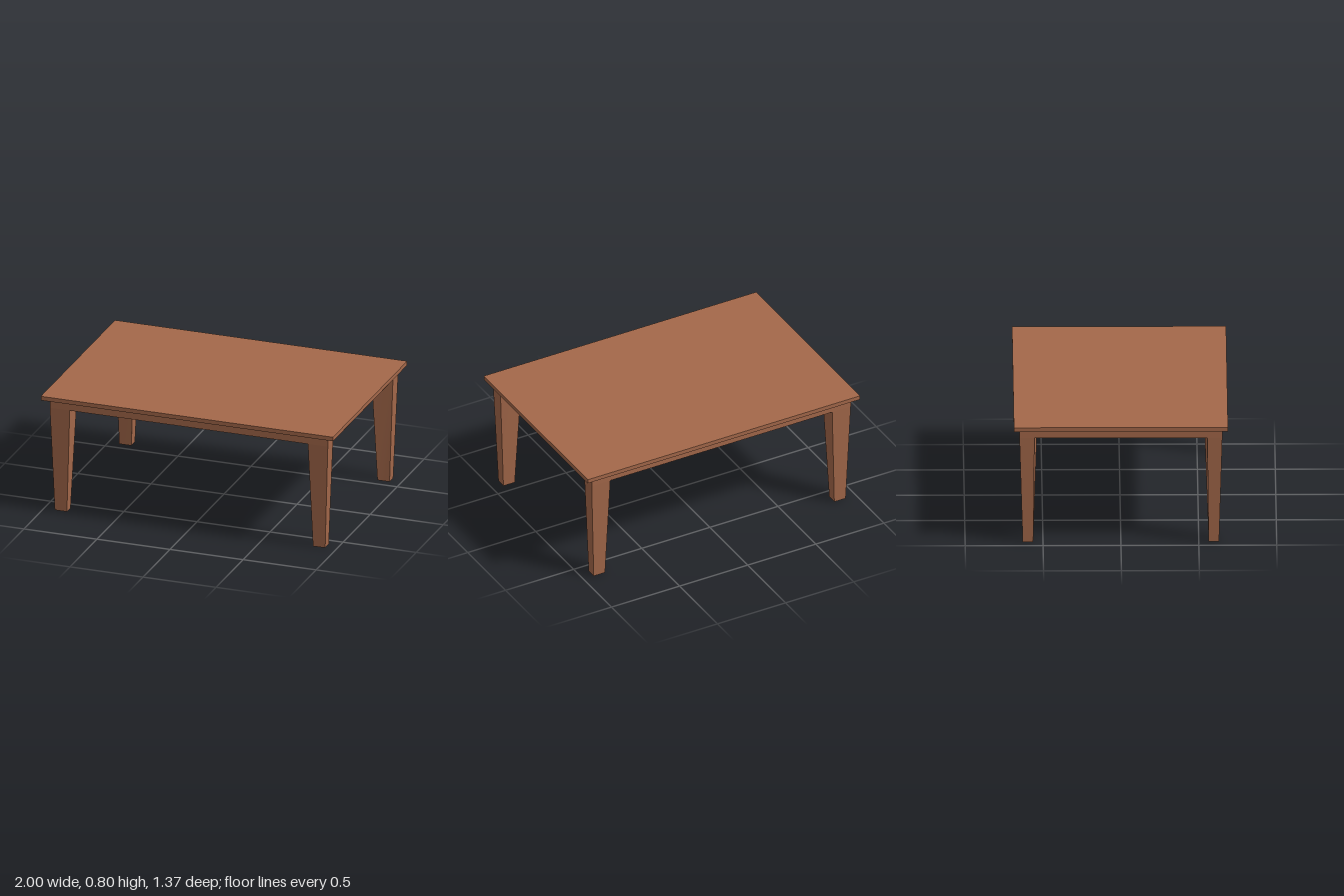
import * as THREE from 'three';

const APRON_BOTTOM = 0.713, TOP_BOTTOM = 0.772, HEIGHT = 0.8;

// Tapered leg for the corner (sx, sz): a box whose corners are moved to the foot and shoulder outlines
function legGeometry(sx, sz) {
  const geo = new THREE.BoxGeometry(1, 1, 1);
  const p = geo.attributes.position;
  for (let i = 0; i < p.count; i++) {
    const outerX = p.getX(i) * sx > 0, outerZ = p.getZ(i) * sz > 0, top = p.getY(i) > 0;
    let x, z;
    if (top) {
      // the inner corner flares slightly further than its neighbours
      x = outerX ? 0.951 : outerZ ? 0.815 : 0.81;
      z = outerZ ? 0.651 : outerX ? 0.555 : 0.538;
    } else {
      x = outerX ? 0.925 : 0.842;
      z = outerZ ? 0.63 : 0.563;
    }
    p.setXYZ(i, x * sx, top ? APRON_BOTTOM : 0, z * sz);
  }
  geo.computeVertexNormals();
  return geo;
}

export function createModel() {
  const table = new THREE.Group();
  table.name = 'table';
  const wood = new THREE.MeshStandardMaterial({ color: 0xa4684a });
  wood.name = 'brown wood';

  const add = (name, geo, y = 0) => {
    const mesh = new THREE.Mesh(geo, wood);
    mesh.name = name;
    mesh.position.y = y;
    table.add(mesh);
  };

  // Flat top and the solid apron block beneath it
  add('tabletop', new THREE.BoxGeometry(2, HEIGHT - TOP_BOTTOM, 1.374), (HEIGHT + TOP_BOTTOM) / 2);
  add('apron', new THREE.BoxGeometry(1.902, TOP_BOTTOM - APRON_BOTTOM, 1.302), (TOP_BOTTOM + APRON_BOTTOM) / 2);

  // Four tapered legs
  for (const sx of [-1, 1]) {
    for (const sz of [-1, 1]) {
      add(`${sz > 0 ? 'front' : 'back'}${sx > 0 ? 'Left' : 'Right'}Leg`, legGeometry(sx, sz));
    }
  }
  return table;
}
